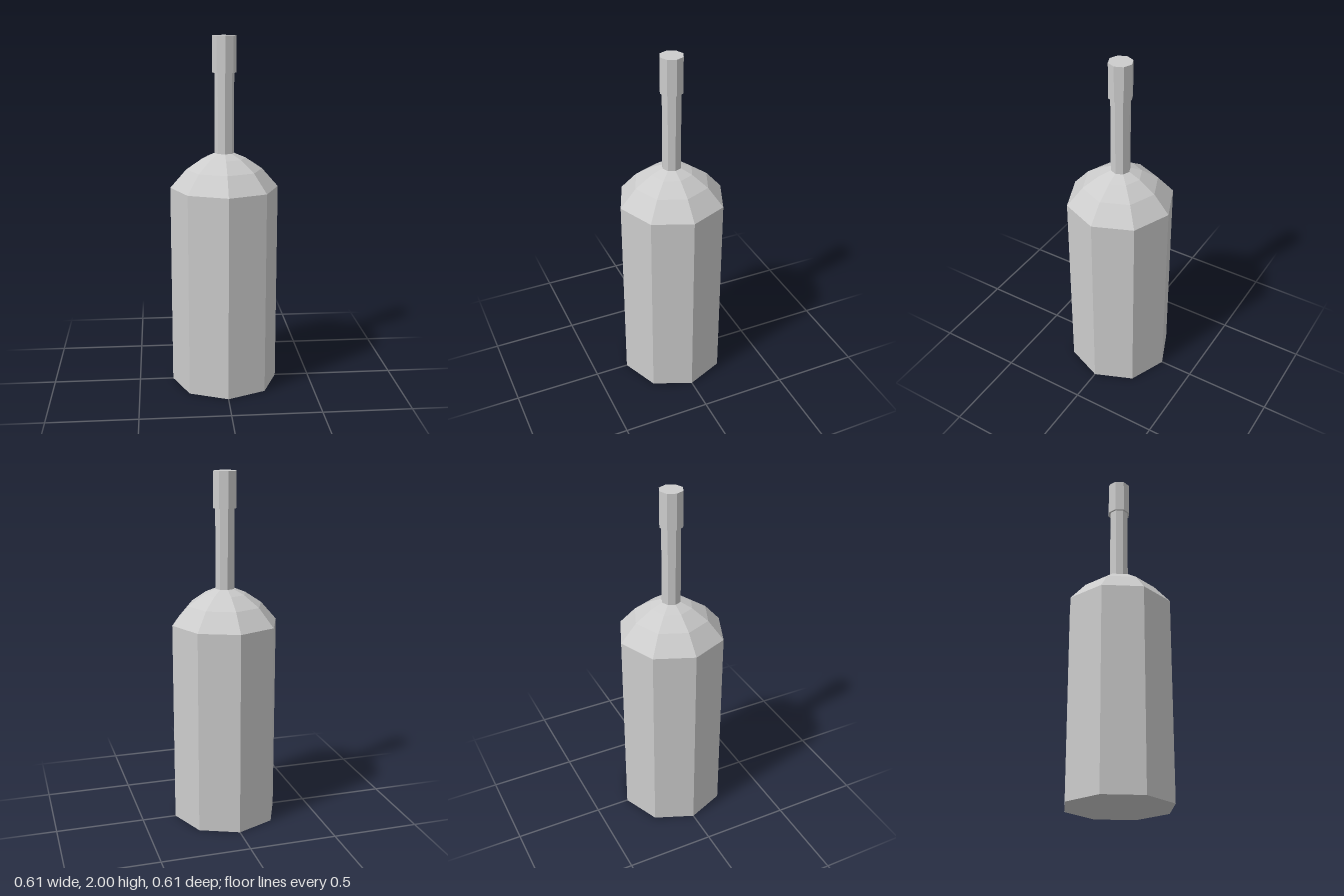
import * as THREE from 'three';

const SIDES = 8;

export function createModel() {
  const model = new THREE.Group();
  model.name = 'bottle';

  const grey = new THREE.MeshStandardMaterial({ color: 0xcccccc });
  grey.name = 'light grey';
  grey.flatShading = true;

  // Faceted ring of sides turned from [radius, height] points, bottom to top
  const addPart = (name, profile) => {
    const points = profile.map(([r, y]) => new THREE.Vector2(r, y));
    const mesh = new THREE.Mesh(new THREE.LatheGeometry(points, SIDES), grey);
    mesh.name = name;
    model.add(mesh);
  };

  // Body with a closed base
  addPart('body', [[0, 0], [0.305, 0], [0.305, 1.16]]);

  // Domed shoulder narrowing to the neck
  addPart('shoulder', [[0.305, 1.16], [0.214, 1.264], [0.121, 1.327], [0.055, 1.355]]);

  // Slim neck
  addPart('neck', [[0.055, 1.355], [0.055, 1.8]]);

  // Slightly wider cap, with its underside lip and flat top
  addPart('cap', [[0.055, 1.8], [0.066, 1.8], [0.066, 2], [0, 2]]);

  return model;
}
